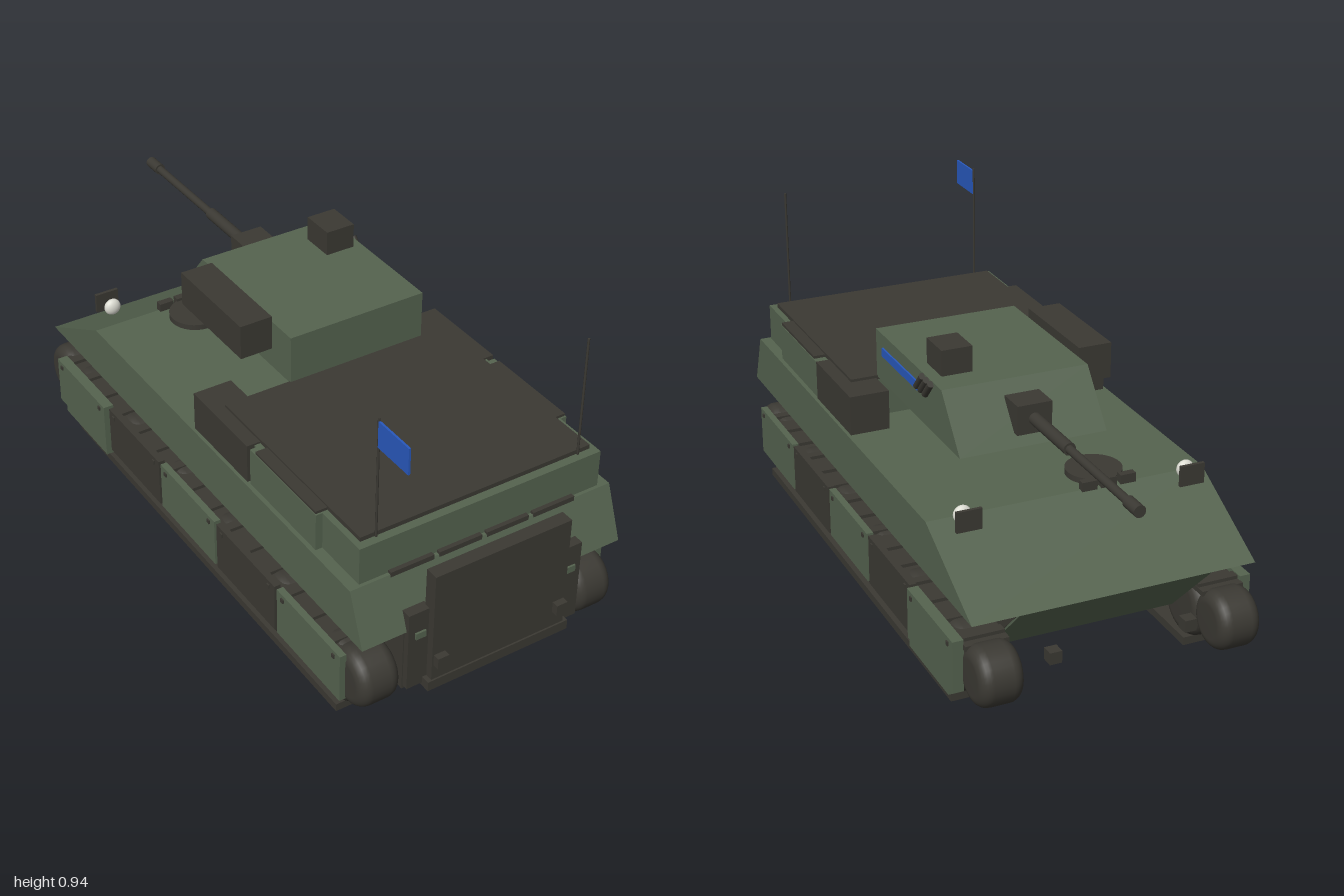
import * as THREE from 'three';

const mat = (name, color) => {
  const m = new THREE.MeshStandardMaterial({ color });
  m.name = name;
  return m;
};

export function createModel() {
  const green = mat('armour green', 0x55634f);
  const dark = mat('dark olive grey', 0x3b3933);
  const blue = mat('marking blue', 0x2858bc);
  const white = mat('lamp white', 0xdcdcd2);
  const blueFlag = mat('flag blue', 0x2858bc);
  blueFlag.side = THREE.DoubleSide;
  const root = new THREE.Group();

  const add = (name, geo, material, parent = root) => {
    const m = new THREE.Mesh(geo, material);
    m.name = name;
    parent.add(m);
    return m;
  };
  // Box given by its extents on each axis
  const box = (name, material, x0, x1, y0, y1, z0, z1, parent = root) => {
    const m = add(name, new THREE.BoxGeometry(x1 - x0, y1 - y0, z1 - z0), material, parent);
    m.position.set((x0 + x1) / 2, (y0 + y1) / 2, (z0 + z1) / 2);
    return m;
  };
  // The same box on either side
  const sideBox = (name, material, s, x0, x1, ...rest) =>
    box(name, material, Math.min(s * x0, s * x1), Math.max(s * x0, s * x1), ...rest);
  // Side profile of [z, y] points, extruded across x
  const prism = (name, material, pts, x0, x1) => {
    const shape = new THREE.Shape(pts.map(([z, y]) => new THREE.Vector2(-z, y)));
    const g = new THREE.ExtrudeGeometry(shape, { depth: x1 - x0, bevelEnabled: false });
    g.rotateY(Math.PI / 2).translate(x0, 0, 0);
    return add(name, g, material);
  };
  // Cylinder along z
  const tubeZ = (name, material, r, x, y, z0, z1) => {
    const m = add(name, new THREE.CylinderGeometry(r, r, Math.abs(z1 - z0), 20), material);
    m.rotation.x = Math.PI / 2;
    m.position.set(x, y, (z0 + z1) / 2);
  };
  // Round-shouldered wheel with its axle along x
  const wheel = (name, r, s, y, z) => {
    const h = 0.063, pts = [new THREE.Vector2(0, -h)];
    for (let i = 0; i <= 6; i++) {
      const a = (i / 6) * Math.PI / 2;
      pts.push(new THREE.Vector2(r - 0.035 + 0.035 * Math.sin(a), -h + 0.035 * (1 - Math.cos(a))));
    }
    for (let i = pts.length - 1; i >= 0; i--) pts.push(new THREE.Vector2(pts[i].x, -pts[i].y));
    const m = add(name, new THREE.LatheGeometry(pts, 28), dark);
    m.rotation.z = Math.PI / 2;
    m.position.set(s * 0.348, y, z);
  };

  // Hull
  prism('upperHull', green, [[0.95, 0.302], [0.89, 0.457], [-0.49, 0.457], [-0.79, 0.302]], -0.413, 0.413);
  prism('lowerHull', dark, [[0.94, 0.1], [0.94, 0.303], [-0.782, 0.303], [-0.58, 0.1]], -0.28, 0.28);
  prism('lowerFrontPlate', green, [[-0.79, 0.302], [-0.782, 0.302], [-0.58, 0.1], [-0.588, 0.1]], -0.28, 0.28);

  // Rear compartment and roof
  box('rearCompartment', green, -0.38, 0.38, 0.455, 0.57, 0.19, 0.88);
  box('compartmentStep', green, -0.29, -0.15, 0.455, 0.555, 0.16, 0.2);
  box('roofPlate', dark, -0.362, 0.362, 0.57, 0.583, 0.19, 0.855);

  // Rear door and fittings
  box('rearDoor', dark, -0.215, 0.215, 0.11, 0.477, 0.94, 0.98);
  box('doorSill', dark, -0.228, 0.228, 0.1, 0.13, 0.94, 0.985);
  for (let i = 0; i < 4; i++) {
    const x = -0.225 + i * 0.15;
    box('rearVent', dark, x - 0.067, x + 0.067, 0.45, 0.465, 0.878, 0.893);
  }

  for (const s of [1, -1]) {
    // Stowage along the compartment sides
    sideBox('frontStowageBox', dark, s, 0.285, 0.403, 0.455, 0.575, 0.09, 0.375);
    sideBox('sideStowageBox', green, s, 0.37, 0.4, 0.455, 0.57, 0.385, 0.71);
    sideBox('stowageLid', dark, s, 0.355, 0.398, 0.57, 0.578, 0.41, 0.705);

    // Rear plates, lamps and door handles
    sideBox('rearPlate', dark, s, 0.21, 0.277, 0.11, 0.36, 0.92, 0.958);
    sideBox('rearLamp', green, s, 0.225, 0.257, 0.275, 0.295, 0.957, 0.964);
    sideBox('doorHandle', dark, s, 0.175, 0.21, 0.18, 0.214, 0.975, 1.0);

    // Running gear
    wheel('frontDriveWheel', 0.085, s, 0.14, -0.77);
    wheel('rearIdlerWheel', 0.088, s, 0.142, 0.868);
    for (let i = 0; i < 6; i++) wheel('roadWheel', 0.1, s, 0.122, 0.8 - i * 0.284);
    sideBox('trackBottom', dark, s, 0.285, 0.413, 0, 0.024, -0.65, 0.835);
    sideBox('trackTop', dark, s, 0.285, 0.41, 0.2, 0.215, -0.74, 0.85);
    for (let i = 0; i < 15; i++) {
      const z = -0.7 + i * 0.107;
      sideBox('trackLink', dark, s, 0.287, 0.41, 0.213, 0.225, z - 0.014, z + 0.014);
    }

    // Side skirts in alternating colours
    for (let i = 0; i < 5; i++) {
      const z = 0.872 - i * 0.322;
      const m = i % 2 ? dark : green;
      sideBox('sideSkirt', m, s, 0.408, i === 4 ? 0.44 : 0.428, 0.075, 0.228, z - 0.31, z);
      for (const bz of [z - 0.03, z - 0.28]) {
        const x = i === 4 ? 0.438 : 0.426;
        sideBox('skirtBolt', dark, s, x, x + 0.006, 0.205, 0.217, bz - 0.006, bz + 0.006);
      }
    }
    sideBox('lowerFrontSkirt', green, s, 0.41, 0.437, 0.05, 0.08, -0.69, -0.42);

    // Headlamps, guards and tow brackets
    const lamp = add('headlamp', new THREE.SphereGeometry(0.026, 20, 12), white);
    lamp.scale.z = 0.65;
    lamp.position.set(s * 0.33, 0.486, -0.54);
    sideBox('headlampGuard', dark, s, 0.292, 0.365, 0.457, 0.517, -0.585, -0.575);
    sideBox('towBracket', dark, s, 0.18, 0.215, 0.165, 0.2, -0.835, -0.8);

    // Aerials
    const mast = add('aerial', new THREE.CylinderGeometry(0.0035, 0.0035, 0.365, 8), dark);
    mast.position.set(s * 0.318, 0.755, 0.86);
  }
  box('flag', blueFlag, -0.321, -0.315, 0.85, 0.928, 0.86, 0.99);

  // Driver's hatch with three periscopes
  const hatch = add('driverHatch', new THREE.CylinderGeometry(0.08, 0.08, 0.022, 32), dark);
  hatch.position.set(-0.12, 0.463, -0.405);
  for (const x of [-0.178, -0.12, -0.062]) box('periscope', dark, x - 0.023, x + 0.023, 0.455, 0.482, -0.5, -0.478);

  // Turret
  prism('turret', green, [[0.195, 0.578], [0.195, 0.727], [-0.288, 0.727], [-0.41, 0.578]], -0.155, 0.28);
  box('turretSideBox', dark, -0.26, -0.16, 0.645, 0.75, -0.105, 0.225).position.z = -0.06;
  box('gunnerSight', dark, 0.157, 0.248, 0.732, 0.807, -0.215, -0.11);
  box('sideStripe', blue, 0.279, 0.285, 0.662, 0.688, -0.125, 0.14);
  for (let i = 0; i < 3; i++) {
    const m = add('smokeLauncher', new THREE.CylinderGeometry(0.01, 0.01, 0.062, 12), dark);
    m.position.set(0.287, 0.7, -0.15 - i * 0.03);
    m.rotation.x = -0.75;
  }

  // Gun
  box('gunMantlet', dark, 0.008, 0.11, 0.61, 0.695, -0.405, -0.32);
  tubeZ('gunSleeve', dark, 0.018, 0.059, 0.652, -0.4, -0.615);
  tubeZ('gunBarrel', dark, 0.012, 0.059, 0.652, -0.6, -0.95);
  tubeZ('gunMuzzle', dark, 0.017, 0.059, 0.652, -0.94, -1.0);

  return root;
}
